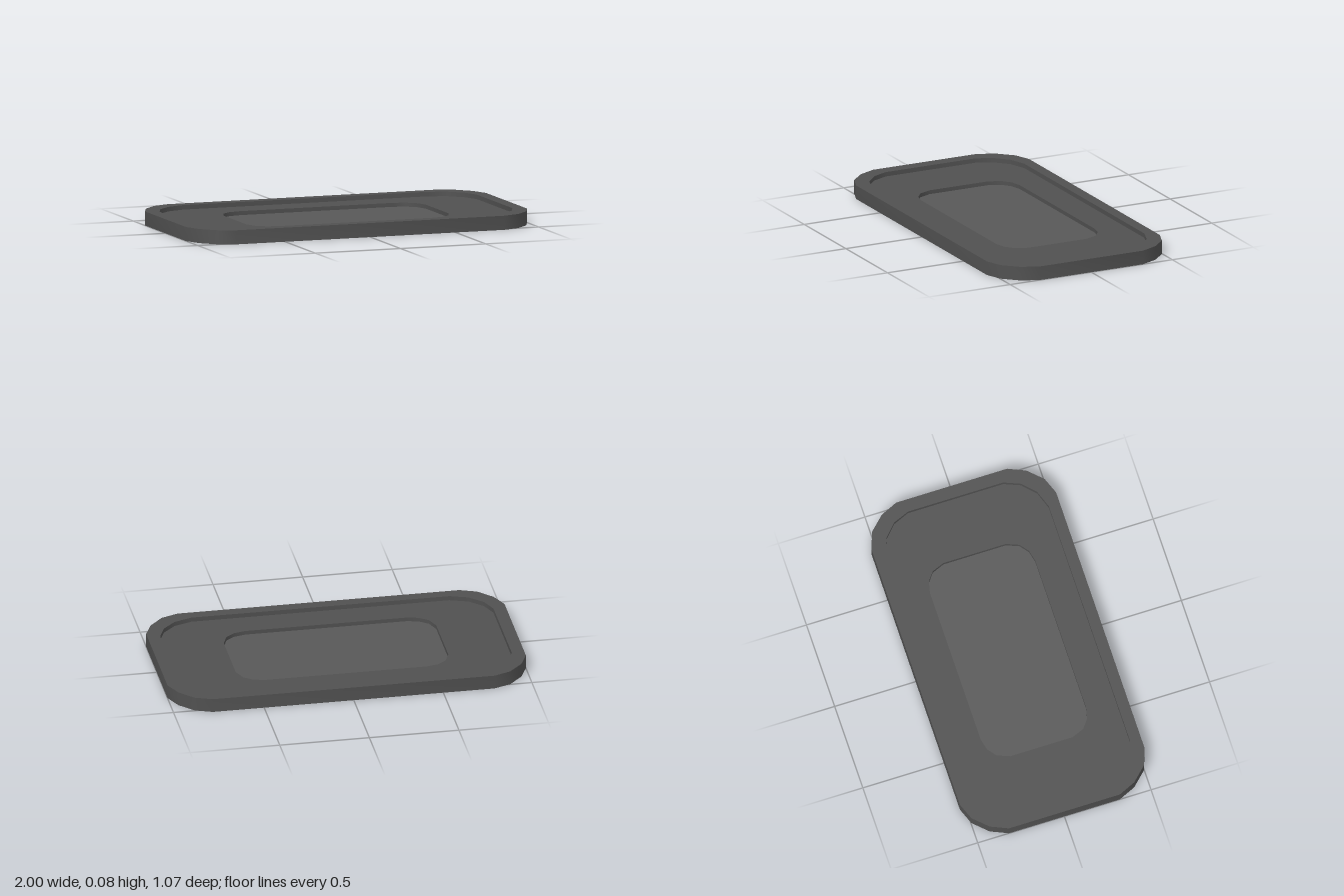
import * as THREE from 'three';
import { toCreasedNormals } from 'three/addons/utils/BufferGeometryUtils.js';

// Closed outline made from one corner (listed from the long side to the short side), mirrored four ways
function outline(corner) {
  const back = [...corner].reverse();
  const place = (list, sx, sy) => list.map(([x, y]) => new THREE.Vector2(x * sx, y * sy));
  return [
    ...place(back, 1, 1), ...place(corner, -1, 1),
    ...place(back, -1, -1), ...place(corner, 1, -1),
  ];
}

// Flat plate lying between two heights, with an optional opening
function plate(name, corner, holeCorner, bottom, top, color) {
  const shape = new THREE.Shape(outline(corner));
  if (holeCorner) shape.holes.push(new THREE.Path(outline(holeCorner)));
  const geometry = new THREE.ExtrudeGeometry(shape, { depth: top - bottom, bevelEnabled: false });
  geometry.rotateX(-Math.PI / 2);
  geometry.translate(0, bottom, 0);
  const mesh = new THREE.Mesh(
    toCreasedNormals(geometry, Math.PI / 4),
    new THREE.MeshStandardMaterial({ color })
  );
  mesh.name = name;
  return mesh;
}

export function createModel() {
  const group = new THREE.Group();
  group.name = 'tray';

  const rimCorner = [[0.786, 0.533], [0.88, 0.497], [0.957, 0.417], [1, 0.32]];
  const floorCorner = [[0.72, 0.47], [0.82, 0.435], [0.893, 0.365], [0.93, 0.275]];
  const panelCorner = [[0.45, 0.304], [0.515, 0.289], [0.565, 0.25], [0.593, 0.18]];

  // Raised outer rim, recessed floor and thin centre panel
  group.add(plate('rim', rimCorner, floorCorner, 0, 0.078, 0x505050));
  group.add(plate('floor', floorCorner, panelCorner, 0.02, 0.053, 0x505050));
  group.add(plate('centrePanel', panelCorner, null, 0.026, 0.031, 0x585858));
  return group;
}
